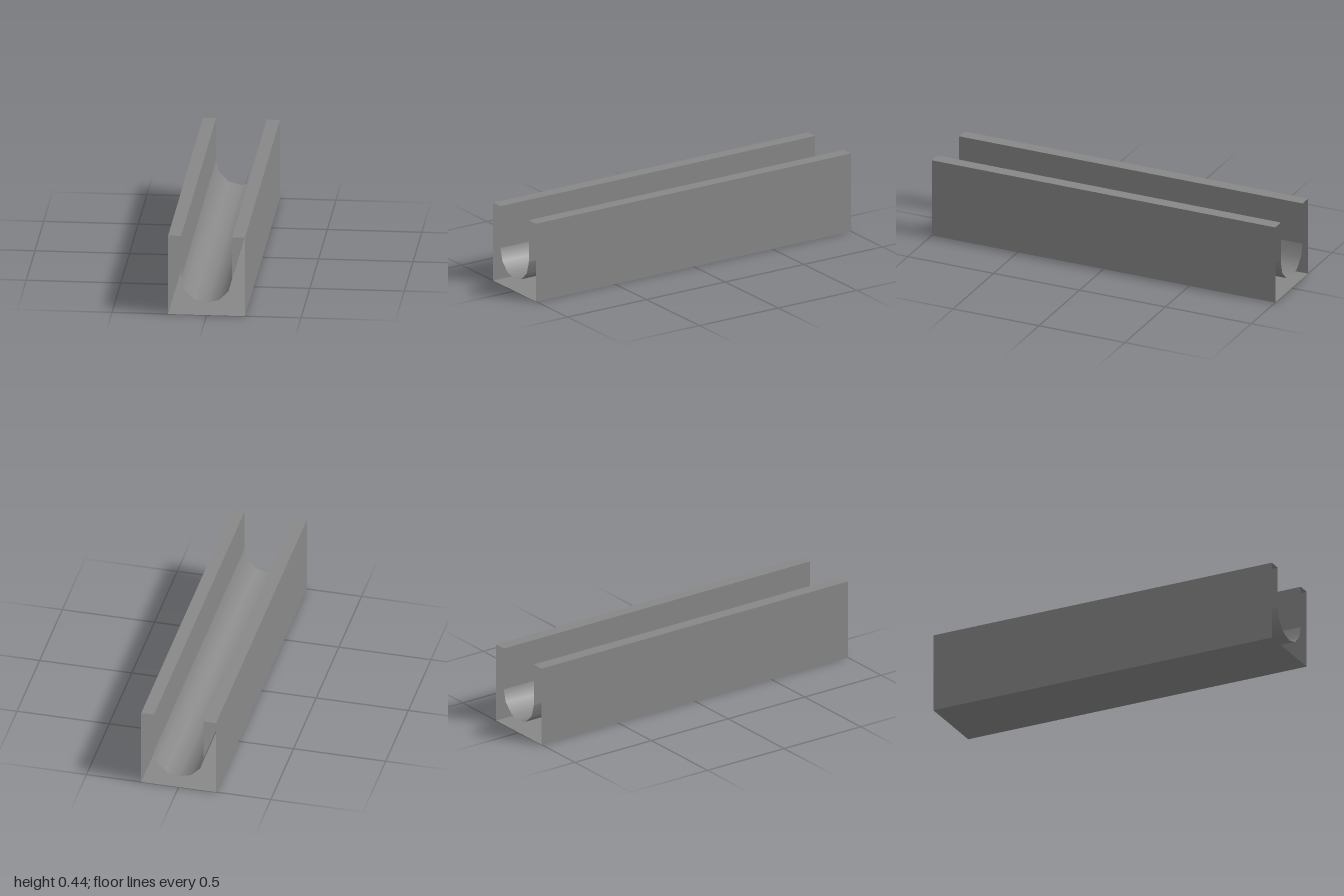
import * as THREE from 'three';

const W = 0.203, H = 0.435, R = 0.134, AXIS = 0.202, HALF = 1;

// Open strip swept along z from a cross-section; faces out to the right of the path
function sweep(points) {
  const positions = [], index = [];
  points.forEach(([x, y], i) => {
    positions.push(x, y, HALF, x, y, -HALF);
    if (i === 0) return;
    const a = 2 * (i - 1), b = 2 * i;
    index.push(a, a + 1, b, b, a + 1, b + 1);
  });
  const g = new THREE.BufferGeometry();
  g.setAttribute('position', new THREE.Float32BufferAttribute(positions, 3));
  g.setIndex(index);
  g.computeVertexNormals();
  return g;
}

export function createModel() {
  const group = new THREE.Group();
  group.name = 'drainChannel';
  const concrete = new THREE.MeshStandardMaterial({ color: 0x888888, side: THREE.DoubleSide });
  concrete.name = 'concreteGrey';

  const add = (name, points) => {
    const mesh = new THREE.Mesh(sweep(points), concrete);
    mesh.name = name;
    group.add(mesh);
  };

  // Outer shell
  add('base', [[-W, 0], [W, 0]]);
  add('leftOuterWall', [[W, 0], [W, H]]);
  add('rightOuterWall', [[-W, H], [-W, 0]]);

  // Rims along the top
  add('leftRim', [[W, H], [R, H]]);
  add('rightRim', [[-R, H], [-W, H]]);

  // Inner walls and the rounded gutter, both ends left open
  add('leftInnerWall', [[R, H], [R, AXIS]]);
  add('rightInnerWall', [[-R, AXIS], [-R, H]]);
  const arc = [];
  for (let i = 0; i <= 6; i++) {
    const t = (i / 6) * Math.PI;
    arc.push([R * Math.cos(t), AXIS - R * Math.sin(t)]);
  }
  add('gutter', arc);

  return group;
}
